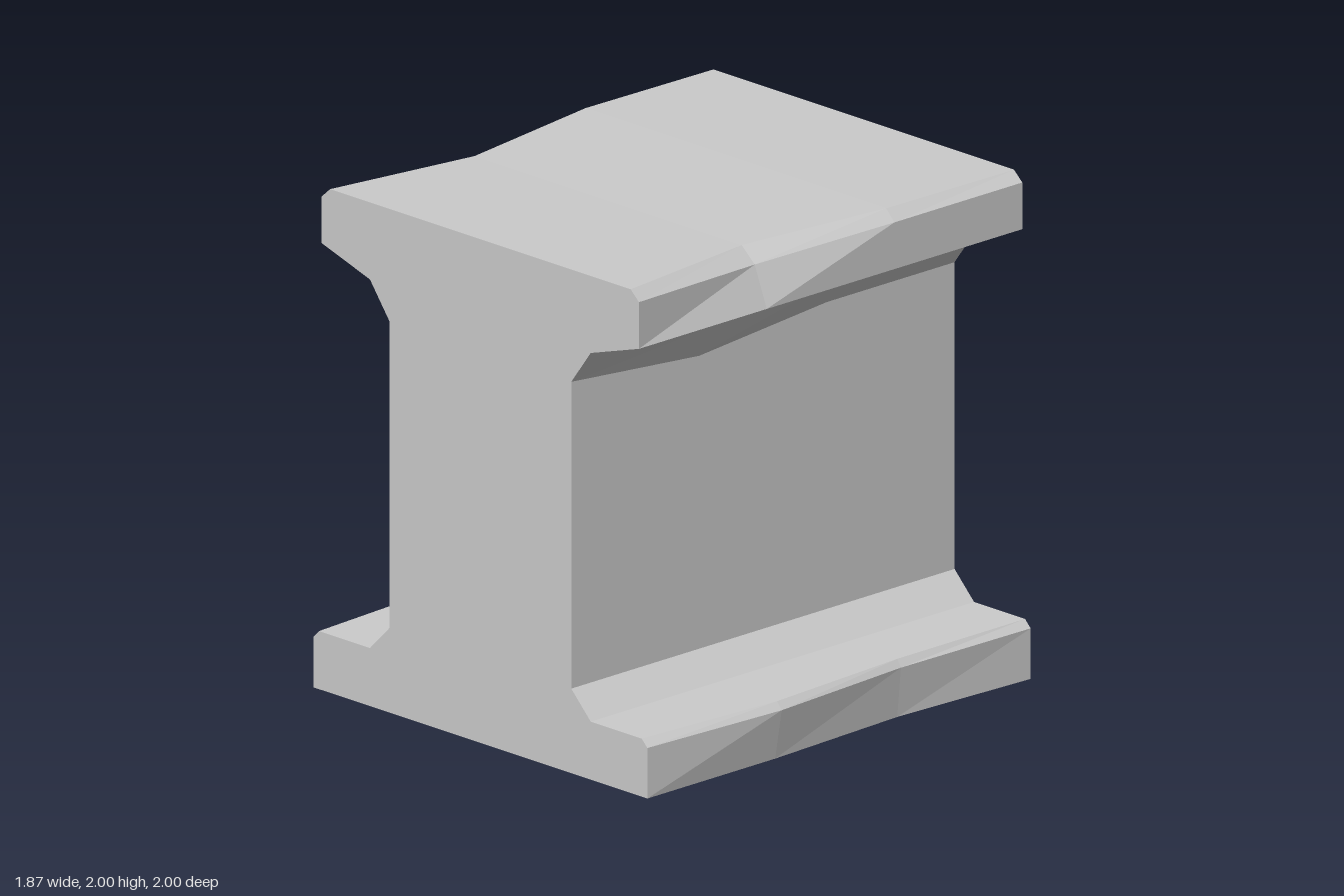
import * as THREE from 'three';

// Half cross-section of the beam (+x side), bottom to top: [x, y]
const base = [
  [0.90, 0], [0.90, 0.20], [0.87, 0.23],     // foot edge and chamfer
  [0.595, 0.23], [0.49, 0.335],              // foot fillet and web
  [0.49, 1.55], [0.595, 1.69],               // upper fillet
  [0.855, 1.77], [0.855, 1.955], [0.81, 1.995], // head edge and chamfer
];

// Worn section: edges of the head chipped away, foot bulging
const worn = [
  [0.90, 0], [0.935, 0.20], [0.91, 0.23],
  [0.595, 0.23], [0.49, 0.335],
  [0.49, 1.495], [0.585, 1.645],
  [0.855, 1.77], [0.79, 1.93], [0.72, 1.99],
];

// Slightly pinched section behind the worn one
const pinched = base.map(([x, y], i) =>
  i === 0 ? [0.87, y] : i === 1 ? [0.89, y] : i === 9 ? [x, 2] : [x, y]);

const stations = [[-1, base], [-0.333, pinched], [0.333, worn], [1, base]];

// Mirror a half section into a closed counter-clockwise outline
const outline = (half) => [
  ...half, ...half.slice().reverse().map(([x, y]) => [-x, y]),
];

function beamGeometry() {
  const positions = [];
  const rings = stations.map(([z, half]) => outline(half).map(([x, y]) => [x, y, z]));
  const tri = (a, b, c) => positions.push(...a, ...b, ...c);
  const n = rings[0].length;

  // Skin between neighbouring sections
  for (let s = 0; s < rings.length - 1; s++) {
    const back = rings[s], front = rings[s + 1];
    for (let i = 0; i < n; i++) {
      const j = (i + 1) % n;
      tri(front[i], back[i], back[j]);
      tri(front[i], back[j], front[j]);
    }
  }

  // Flat end caps
  const first = rings[0], last = rings[rings.length - 1];
  const contour = last.map(([x, y]) => new THREE.Vector2(x, y));
  for (const [a, b, c] of THREE.ShapeUtils.triangulateShape(contour, [])) {
    tri(last[a], last[b], last[c]);
    tri(first[c], first[b], first[a]);
  }

  const geometry = new THREE.BufferGeometry();
  geometry.setAttribute('position', new THREE.Float32BufferAttribute(positions, 3));
  geometry.computeVertexNormals();
  return geometry;
}

export function createModel() {
  const group = new THREE.Group();
  const material = new THREE.MeshStandardMaterial({ color: 0xcccccc, flatShading: true });
  const beam = new THREE.Mesh(beamGeometry(), material);
  beam.name = 'beam';
  group.add(beam);
  return group;
}
